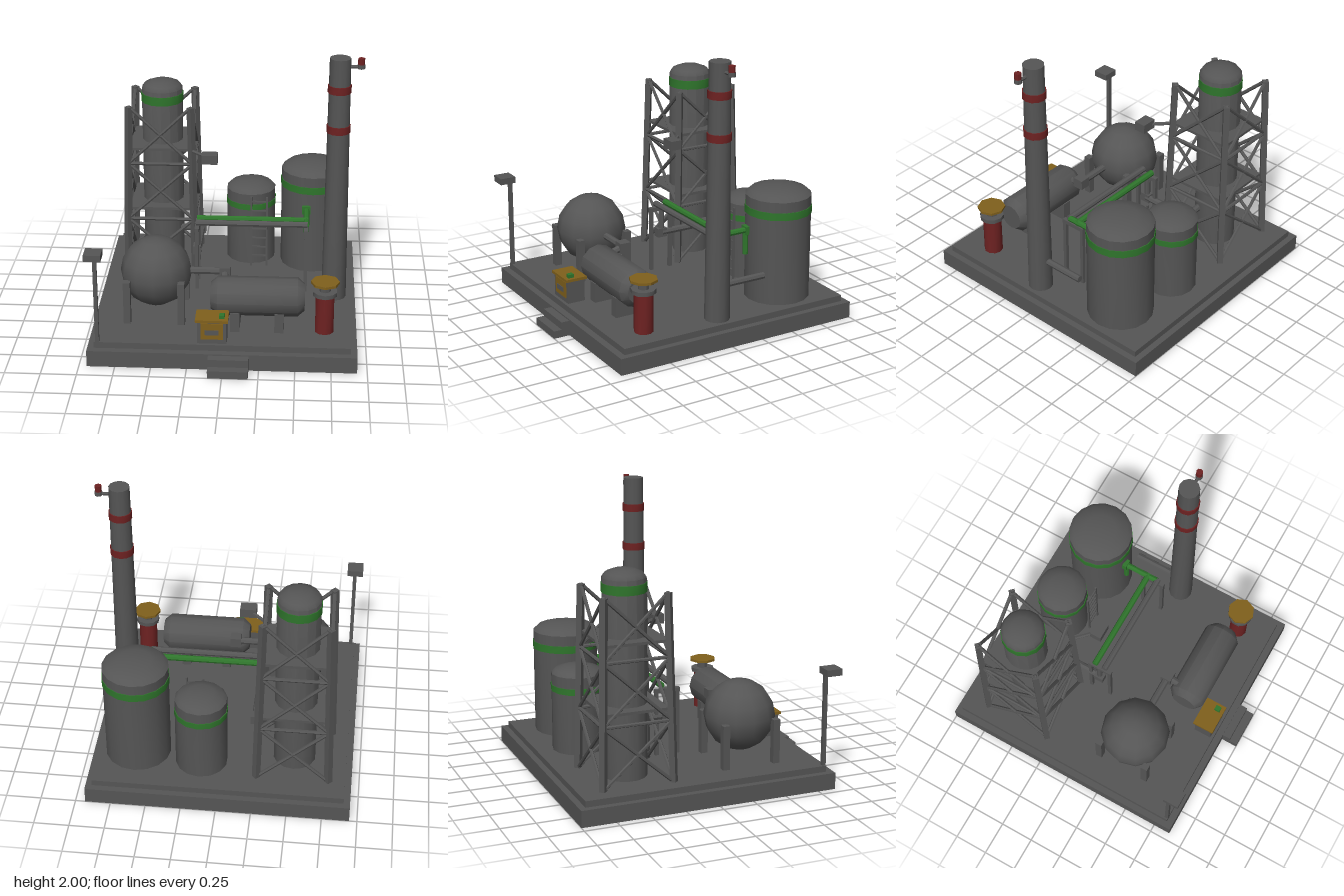
import * as THREE from 'three';
import { toCreasedNormals } from 'three/addons/utils/BufferGeometryUtils.js';

const material = (name, color) => Object.assign(new THREE.MeshStandardMaterial({ color }), { name });
const V = (x, y, z) => new THREE.Vector3(x, y, z);
const FLOOR = 0.165;

export function createModel() {
  const model = new THREE.Group();
  model.name = 'refinery';
  const steel = material('steel grey', 0x555555);
  const red = material('warning red', 0x6e2222);
  const green = material('pipe green', 0x2f752c);
  const gold = material('ochre', 0x80601c);

  const group = (name) => {
    const g = new THREE.Group();
    g.name = name;
    model.add(g);
    return g;
  };
  const add = (parent, name, geo, mat, x = 0, y = 0, z = 0) => {
    const mesh = new THREE.Mesh(toCreasedNormals(geo, 0.7), mat);
    mesh.name = name;
    mesh.position.set(x, y, z);
    parent.add(mesh);
    return mesh;
  };
  // Box given by its minimum and maximum on each axis
  const box = (parent, name, mat, x0, x1, y0, y1, z0, z1) =>
    add(parent, name, new THREE.BoxGeometry(x1 - x0, y1 - y0, z1 - z0), mat,
      (x0 + x1) / 2, (y0 + y1) / 2, (z0 + z1) / 2);
  // Upright cylinder from y0 to y1
  const drum = (parent, name, mat, x, z, y0, y1, r0, r1 = r0, sides = 16) =>
    add(parent, name, new THREE.CylinderGeometry(r1, r0, y1 - y0, sides), mat, x, (y0 + y1) / 2, z);
  // Round or square bar between two points
  const bar = (parent, name, mat, a, b, r, sides = 8) => {
    const mesh = add(parent, name, new THREE.CylinderGeometry(r, r, a.distanceTo(b), sides), mat);
    mesh.position.copy(a).add(b).multiplyScalar(0.5);
    mesh.quaternion.setFromUnitVectors(V(0, 1, 0), b.clone().sub(a).normalize());
    return mesh;
  };
  // Upright vessel with a shallow dome and a coloured band
  const vessel = (name, x, z, r, shoulder, top, band0, band1, sides) => {
    const g = group(name);
    const h = top - shoulder;
    const profile = [[0, FLOOR], [r, FLOOR], [r, shoulder], [r * 0.86, shoulder + h * 0.5],
      [r * 0.5, shoulder + h * 0.87], [0, top]].map(([a, b]) => new THREE.Vector2(a, b));
    add(g, 'shell', new THREE.LatheGeometry(profile, sides), steel, x, 0, z);
    drum(g, 'band', green, x, z, band0, band1, r + 0.005, r + 0.005, sides);
    return g;
  };

  // Foundation and entrance steps
  const base = group('foundation');
  box(base, 'lowerSlab', steel, -0.945, 0.93, 0, 0.12, -1, 0.88);
  box(base, 'upperSlab', steel, -0.9, 0.885, 0.12, FLOOR, -0.955, 0.83);
  box(base, 'upperStep', steel, -0.1, 0.18, 0, 0.11, 0.88, 0.94);
  box(base, 'lowerStep', steel, -0.1, 0.18, 0, 0.055, 0.94, 1);

  // Storage vessels
  vessel('largeTank', 0.603, -0.58, 0.236, 0.93, 0.99, 0.8, 0.855, 16);
  const mediumTank = vessel('mediumTank', 0.135, -0.65, 0.186, 0.735, 0.79, 0.61, 0.655, 14);
  for (const x of [0.143, 0.262]) box(mediumTank, 'ladderRail', steel, x - 0.007, x + 0.007, FLOOR, 0.735, -0.44, -0.426);
  for (let i = 0; i < 7; i++) {
    const y = 0.24 + i * 0.075;
    box(mediumTank, 'ladderRung', steel, 0.143, 0.262, y, y + 0.012, -0.438, -0.428);
  }

  // Distillation column in a tapering lattice frame
  const cx = -0.525, cz = -0.533;
  vessel('column', cx, cz, 0.152, 1.565, 1.625, 1.465, 1.53, 14);
  const frame = group('columnFrame');
  const corners = [[-1, -1], [1, -1], [1, 1], [-1, 1]];
  const levels = [FLOOR, 0.605, 1.045, 1.485];
  const corner = (i, y) => {
    const s = 0.256 - 0.03 * (y - FLOOR) / 1.32;
    const [a, b] = corners[i % 4];
    return V(cx + a * s, y, cz + b * s);
  };
  for (let i = 0; i < 4; i++) {
    bar(frame, 'frameLeg', steel, corner(i, FLOOR), corner(i, 1.485), 0.03, 4);
    for (let k = 0; k < 3; k++) {
      bar(frame, 'brace', steel, corner(i, levels[k]), corner(i + 1, levels[k + 1]), 0.013, 6);
      bar(frame, 'brace', steel, corner(i + 1, levels[k]), corner(i, levels[k + 1]), 0.013, 6);
      if (k) bar(frame, 'crossbar', steel, corner(i, levels[k]), corner(i + 1, levels[k]), 0.013, 6);
    }
  }
  for (const y of [0.68, 1.155])
    box(frame, 'platform', steel, cx - 0.23, cx + 0.23, y - 0.01, y + 0.01, cz - 0.23, cz + 0.23);
  bar(frame, 'floodlightArm', steel, V(-0.3, 1.155, -0.3), V(-0.16, 1.155, -0.165), 0.013, 6);
  box(frame, 'floodlight', steel, -0.207, -0.092, 1.122, 1.19, -0.2, -0.115);

  // Column outlet pipe
  const outlet = group('outletPipe');
  bar(outlet, 'pipe', steel, V(-0.42, 0.45, -0.485), V(-0.235, 0.45, -0.485), 0.026);
  box(outlet, 'elbow', steel, -0.267, -0.203, 0.417, 0.483, -0.52, -0.452);
  bar(outlet, 'pipe', steel, V(-0.235, 0.45, -0.485), V(-0.235, 0.45, -0.115), 0.026);
  box(outlet, 'elbow', steel, -0.272, -0.215, 0.417, 0.483, -0.15, -0.075);
  bar(outlet, 'riser', steel, V(-0.24, 0.45, -0.115), V(-0.24, 0.66, -0.115), 0.022);

  // Pipe rack
  const rack = group('pipeRack');
  for (const x of [-0.24, 0.56]) {
    for (const z of [-0.028, -0.188]) box(rack, 'rackPost', steel, x - 0.013, x + 0.013, FLOOR, 0.63, z - 0.013, z + 0.013);
    box(rack, 'rackBeam', steel, x - 0.016, x + 0.016, 0.625, 0.655, -0.203, -0.013);
  }
  bar(rack, 'greyPipe', steel, V(-0.245, 0.68, -0.07), V(0.57, 0.68, -0.07), 0.023);
  bar(rack, 'greenPipe', green, V(-0.245, 0.68, -0.15), V(0.575, 0.68, -0.15), 0.023);
  bar(rack, 'greenBranch', green, V(0.56, 0.68, -0.07), V(0.56, 0.68, -0.36), 0.022);
  box(rack, 'greenFlange', green, 0.527, 0.59, 0.65, 0.71, -0.355, -0.322);
  bar(rack, 'greenDrop', green, V(0.56, 0.68, -0.335), V(0.56, 0.5, -0.335), 0.02);

  // Chimney with warning bands, lamp and flue
  const chimney = group('chimney');
  const sx = 0.77, sz = 0.032;
  drum(chimney, 'stack', steel, sx, sz, FLOOR, 2, 0.09, 0.074, 12);
  drum(chimney, 'band', red, sx, sz, 1.455, 1.51, 0.085, 0.085, 12);
  drum(chimney, 'band', red, sx, sz, 1.75, 1.805, 0.083, 0.083, 12);
  bar(chimney, 'lampArm', steel, V(0.82, 1.937, sz), V(0.92, 1.937, sz), 0.012, 6);
  drum(chimney, 'lampBase', steel, 0.915, sz, 1.925, 1.955, 0.027, 0.027, 8);
  drum(chimney, 'lamp', red, 0.915, sz, 1.955, 2, 0.024, 0.024, 8);
  bar(chimney, 'flue', steel, V(sx, 0.405, sz), V(sx, 0.405, -0.35), 0.025);

  // Gas sphere on four legs
  const sphere = group('gasSphere');
  add(sphere, 'ball', new THREE.SphereGeometry(0.255, 12, 8), steel, -0.503, 0.49, 0.337);
  for (const [a, b] of corners) {
    const x = -0.503 + a * 0.192, z = 0.337 + b * 0.192;
    box(sphere, 'sphereLeg', steel, x - 0.025, x + 0.025, FLOOR, 0.485, z - 0.025, z + 0.025);
  }

  // Horizontal tank on saddles
  const lying = group('horizontalTank');
  const ends = [[0, -0.33], [0.095, -0.33], [0.138, -0.28], [0.138, 0.28], [0.095, 0.33], [0, 0.33]];
  const shell = add(lying, 'shell', new THREE.LatheGeometry(ends.map(([r, y]) => new THREE.Vector2(r, y)), 12),
    steel, 0.23, 0.398, 0.525);
  shell.rotation.z = -Math.PI / 2;
  for (const x of [0.072, 0.383]) box(lying, 'saddle', steel, x - 0.033, x + 0.033, FLOOR, 0.31, 0.415, 0.635);

  // Link from sphere to tank
  const link = group('linkPipe');
  bar(link, 'pipe', steel, V(-0.3, 0.495, 0.34), V(0, 0.495, 0.34), 0.027);
  box(link, 'elbow', steel, -0.05, 0.03, 0.46, 0.535, 0.298, 0.38);
  bar(link, 'stub', steel, V(-0.01, 0.495, 0.34), V(-0.01, 0.46, 0.46), 0.027);

  // Red burner with a canopy
  const burner = group('burner');
  const bx = 0.7, bz = 0.578;
  drum(burner, 'barrel', red, bx, bz, FLOOR, 0.45, 0.068, 0.068, 10);
  drum(burner, 'collar', steel, bx, bz, 0.45, 0.48, 0.087, 0.087, 10);
  drum(burner, 'neck', steel, bx, bz, 0.48, 0.535, 0.04, 0.04, 8);
  drum(burner, 'canopy', gold, bx, bz, 0.535, 0.553, 0.1, 0.1, 8);

  // Control desk
  const desk = group('controlDesk');
  box(desk, 'body', steel, -0.18, 0.025, FLOOR, 0.33, 0.675, 0.808);
  box(desk, 'top', gold, -0.193, 0.035, 0.33, 0.35, 0.66, 0.822);
  box(desk, 'panel', gold, -0.155, 0, 0.2, 0.32, 0.808, 0.814);
  box(desk, 'slot', steel, -0.127, -0.03, 0.235, 0.272, 0.814, 0.818);
  box(desk, 'button', green, -0.027, 0.01, 0.35, 0.375, 0.75, 0.792);

  // Corner lamp post
  const lamp = group('lampPost');
  box(lamp, 'post', steel, -0.887, -0.86, 0.12, 0.83, 0.805, 0.832);
  box(lamp, 'head', steel, -0.935, -0.817, 0.825, 0.872, 0.8, 0.917);

  return model;
}
